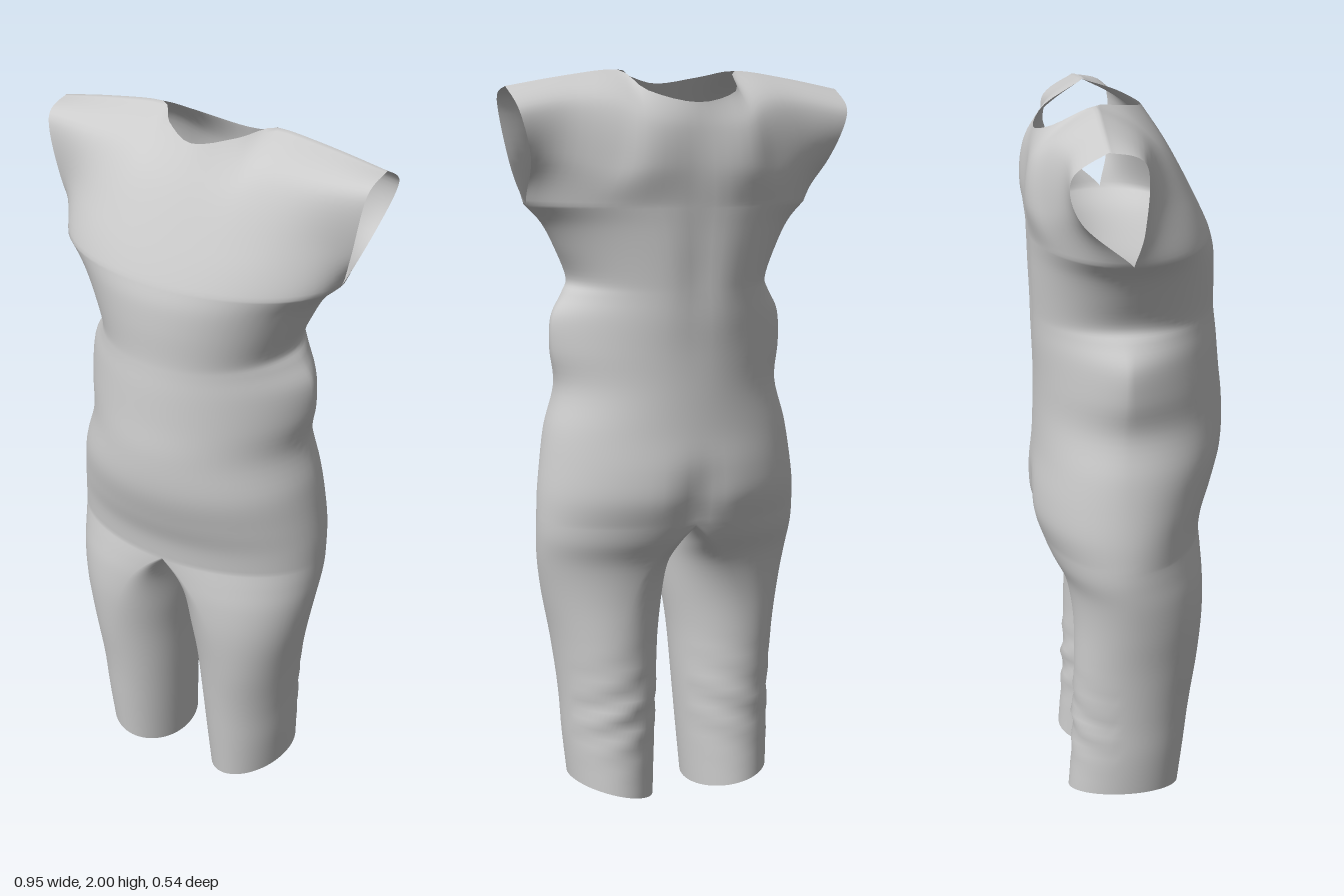
import * as THREE from 'three';
import { mergeVertices } from 'three/addons/utils/BufferGeometryUtils.js';

const HALF = 32; // columns across the front (and across the back)
const SUB = 5; // rows between two key sections

// Smooth interpolation through a list of number rows, t counted in rows
function spline(rows, t) {
  const last = rows.length - 1;
  const i = Math.min(Math.floor(t), last - 1), f = t - i;
  const at = (k) => rows[Math.max(0, Math.min(last, k))];
  const [a, b, c, d] = [at(i - 1), at(i), at(i + 1), at(i + 2)];
  return b.map((v, k) => v + 0.5 * f * (c[k] - a[k]
    + f * (2 * a[k] - 5 * v + 4 * c[k] - d[k] + f * (3 * (v - c[k]) + d[k] - a[k]))));
}

// Torso sections, bottom to top: y, half width, front z, back z, side pinch
const TORSO = [
  [0.80, 0.375, 0.205, -0.245, 1], [0.87, 0.372, 0.215, -0.268, 1],
  [0.95, 0.362, 0.24, -0.268, 1], [1.05, 0.345, 0.265, -0.255, 1],
  [1.16, 0.318, 0.268, -0.25, 1.1], [1.26, 0.335, 0.258, -0.25, 1.3],
  [1.35, 0.333, 0.25, -0.255, 1.4], [1.41, 0.295, 0.243, -0.257, 1.15],
  [1.45, 0.275, 0.24, -0.258, 0.95], [1.53, 0.31, 0.24, -0.26, 1],
  [1.60, 0.35, 0.235, -0.26, 1], [1.65, 0.40, 0.222, -0.26, 1],
];

// Leg sections, bottom to top: y, inner x, outer x, front z, back z, roundness
const LEG = [
  [0.005, 0.06, 0.29, 0.135, -0.18, 1], [0.15, 0.05, 0.30, 0.15, -0.17, 1],
  [0.30, 0.04, 0.307, 0.165, -0.165, 1], [0.45, 0.03, 0.325, 0.185, -0.16, 1],
  [0.58, 0.015, 0.35, 0.2, -0.16, 0.85], [0.68, 0.008, 0.367, 0.205, -0.178, 0.6],
  [0.75, 0.004, 0.374, 0.205, -0.218, 0.3], [0.80, 0, 0.375, 0.205, -0.245, 0],
];

// Shoulder columns from the middle out to the sleeve edge, rising to the top
const FRONT = [
  [[0, 1.75, 0.175], [0, 1.87, 0.11], [0, 1.968, 0.045]],
  [[0.14, 1.75, 0.16], [0.125, 1.88, 0.085], [0.1, 1.985, -0.01]],
  [[0.25, 1.76, 0.12], [0.2, 1.92, 0.04], [0.17, 2.0, -0.09]],
  [[0.36, 1.77, 0.05], [0.34, 1.92, 0.02], [0.32, 1.983, -0.09]],
  [[0.435, 1.75, 0.003], [0.47, 1.92, 0.002], [0.477, 1.955, -0.09]],
];
const BACK = [
  [[0, 1.75, -0.26], [0, 1.85, -0.25], [0, 1.915, -0.235]],
  [[0.14, 1.75, -0.265], [0.13, 1.86, -0.25], [0.125, 1.945, -0.195]],
  [[0.24, 1.75, -0.225], [0.21, 1.91, -0.205], [0.17, 2.0, -0.09]],
  [[0.35, 1.77, -0.18], [0.335, 1.91, -0.175], [0.32, 1.983, -0.09]],
  [[0.43, 1.77, -0.15], [0.468, 1.89, -0.178], [0.477, 1.955, -0.09]],
];

const SIDE_Z = -0.02;

// Point on a torso section; angle 0 is the front, 90 degrees the left side
function torsoPoint([y, w, front, back, pinch], angle) {
  const c = Math.cos(angle);
  const depth = (c > 0 ? front : back) - SIDE_Z;
  return [w * Math.sin(angle), y, SIDE_Z + depth * Math.pow(Math.abs(c), pinch)];
}

// Point on the left leg; the top ring is half a torso section closed by the crotch
function legPoint([y, inner, outer, front, back, round], angle) {
  const s = Math.sin(angle), c = Math.cos(angle);
  const mid = (front + back) / 2, rz = (front - back) / 2;
  const oval = [(inner + outer) / 2 + s * (outer - inner) / 2, y, mid + rz * c];
  const half = s >= -1e-9 ? torsoPoint([y, outer, front, back, 1], angle)
    : [inner, y + 0.04 * s, mid + rz * c];
  if (s >= -1e-9) half[0] = Math.max(half[0], inner);
  const p = half.map((v, k) => THREE.MathUtils.lerp(v, oval[k], round));
  // hem slants up towards the outside
  p[1] += 0.055 * Math.max(0, 1 - y / 0.3) * (p[0] - inner) / (outer - inner);
  return p;
}

// Soft body shaping: seat cleft, spine groove and creases behind the knees
function shape([x, y, z]) {
  const bump = (v, centre, width) => Math.exp(-(((v - centre) / width) ** 2));
  if (z < -0.05) {
    z += 0.025 * bump(x, 0, 0.06) * bump(y, 0.86, 0.1);
    z += 0.012 * bump(x, 0, 0.05) * bump(y, 1.5, 0.2);
    z += 0.006 * bump(y, 0.27, 0.1) * Math.sin(y * 70 + Math.abs(x) * 25);
  }
  return [x, y, z];
}

function createGarmentGeometry() {
  const positions = [], indices = [];
  const addGrid = (rows) => {
    const base = positions.length / 3, n = rows[0].length;
    rows.forEach((row) => row.forEach((p) => positions.push(...shape(p))));
    for (let r = 0; r < rows.length - 1; r++) {
      for (let c = 0; c < n - 1; c++) {
        const a = base + r * n + c, b = a + n;
        indices.push(a, a + 1, b + 1, a, b + 1, b);
      }
    }
  };
  const loft = (keys, point) => {
    const rows = [];
    for (let r = 0; r <= (keys.length - 1) * SUB; r++) {
      const key = spline(keys, r / SUB), row = [];
      for (let c = 0; c <= HALF * 2; c++) row.push(point(key, (c / HALF) * Math.PI));
      rows.push(row);
    }
    return rows;
  };

  // Torso and both legs
  addGrid(loft(TORSO, torsoPoint));
  const leg = loft(LEG, legPoint);
  addGrid(leg);
  addGrid(leg.map((row) => row.map(([x, y, z]) => [-x, y, z]).reverse()));

  // Chest and back panels above the armpits, leaving neck and sleeves open
  const panel = (columns, isBack) => {
    const mirrored = [...columns.slice(1).reverse()
      .map((col) => col.map(([x, y, z]) => [-x, y, z])), ...columns];
    const paths = [];
    for (let c = 0; c <= HALF; c++) {
      const t = c / HALF;
      const angle = (t - 0.5) * Math.PI;
      const below = TORSO.slice(-2)
        .map((key) => torsoPoint(key, isBack ? Math.PI - angle : angle));
      const above = [0, 1, 2].map((k) => spline(mirrored.map((col) => col[k]), t * 8));
      paths.push([...below, ...above]);
    }
    return paths;
  };
  const front = panel(FRONT, false), back = panel(BACK, true);
  // join the panels along the shoulder seams
  front.forEach((path, c) => {
    if (Math.abs(c - HALF / 2) < HALF / 4) return;
    path[4] = path[4].map((v, k) => (v + back[c][4][k]) / 2);
    back[c][4] = path[4];
  });
  for (const paths of [front, back.reverse()]) {
    const rows = [];
    for (let r = 0; r <= 24; r++) rows.push(paths.map((path) => spline(path, 1 + r / 8)));
    addGrid(rows);
  }

  const geometry = new THREE.BufferGeometry();
  geometry.setAttribute('position', new THREE.Float32BufferAttribute(positions, 3));
  geometry.setIndex(indices);
  const merged = mergeVertices(geometry, 1e-4);
  merged.computeVertexNormals();
  return merged;
}

export function createModel() {
  const group = new THREE.Group();
  group.name = 'garment';
  const material = new THREE.MeshStandardMaterial({ color: 0xcccccc, side: THREE.DoubleSide });
  const suit = new THREE.Mesh(createGarmentGeometry(), material);
  suit.name = 'jumpsuit';
  group.add(suit);
  return group;
}
